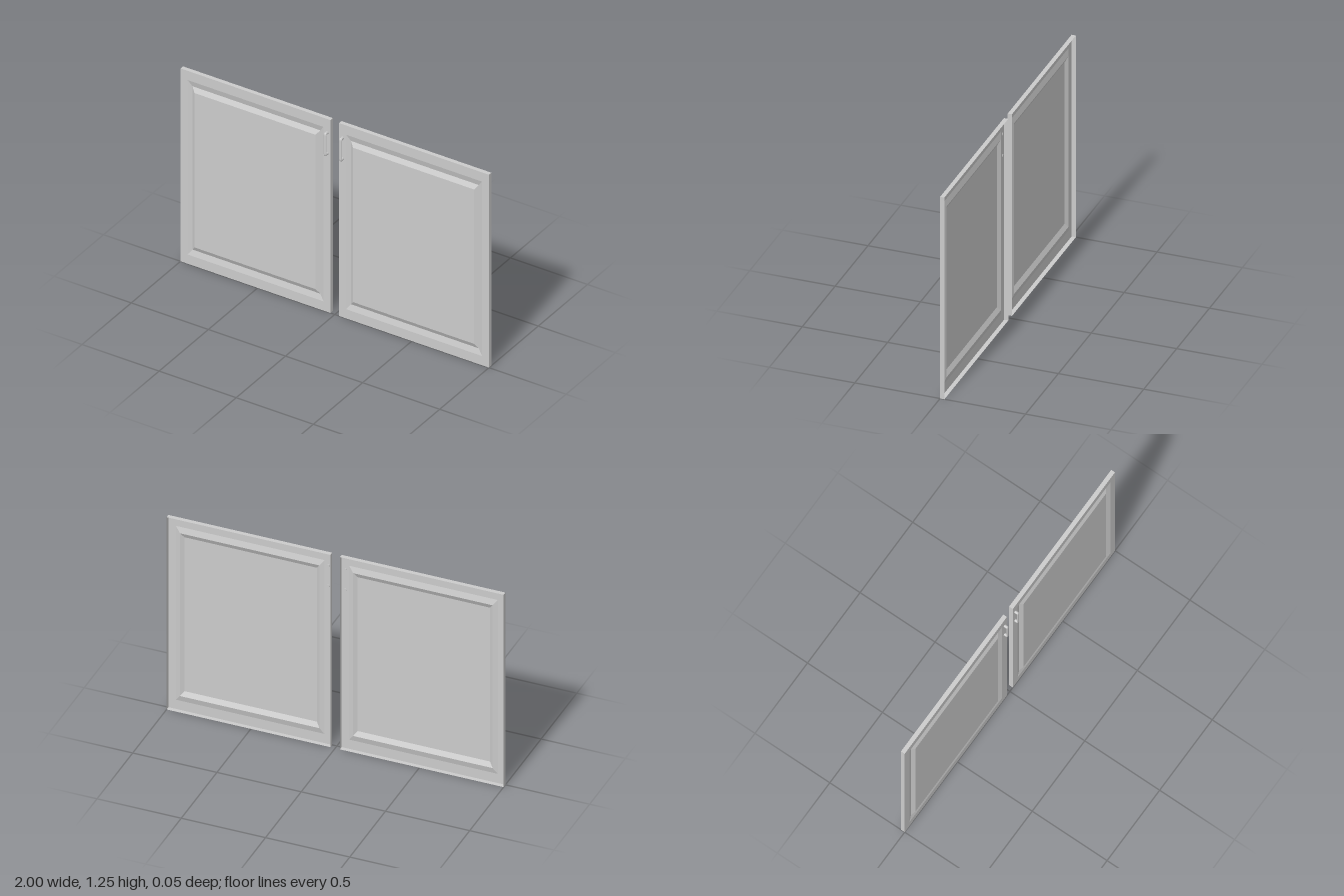
import * as THREE from 'three';

const X0 = 0.028, X1 = 1, H = 1.252;

// Rectangular rings of the pressed door sheet: [x inset, y inset, z], outside to centre
const RINGS = [
  [0, 0, -0.025],         // back edge of the rim
  [0, 0, 0],              // front edge of the frame
  [0.045, 0.06, 0],       // start of the shallow slope
  [0.072, 0.096, -0.009], // groove
  [0.093, 0.125, 0.005],  // raised panel edge
];

function ringCorners([dx, dy, z]) {
  return [
    [X0 + dx, dy, z], [X1 - dx, dy, z],
    [X1 - dx, H - dy, z], [X0 + dx, H - dy, z],
  ];
}

// Thin sheet, open at the back, with flat facets
function doorGeometry() {
  const pos = [];
  const quad = (a, b, c, d) => pos.push(...a, ...b, ...c, ...a, ...c, ...d);
  const rings = RINGS.map(ringCorners);
  for (let r = 0; r < rings.length - 1; r++) {
    for (let i = 0; i < 4; i++) {
      const j = (i + 1) % 4;
      quad(rings[r][i], rings[r][j], rings[r + 1][j], rings[r + 1][i]);
    }
  }
  quad(...rings[rings.length - 1]);
  const geo = new THREE.BufferGeometry();
  geo.setAttribute('position', new THREE.Float32BufferAttribute(pos, 3));
  geo.computeVertexNormals();
  return geo;
}

// Bow handle: round bar with tight bends, flattened in depth
function handleGeometry() {
  const v = (y, z) => new THREE.Vector3(0, y, z);
  const h = 0.067, d = 0.039, b = 0.008, back = -0.006;
  const path = new THREE.CurvePath();
  path.add(new THREE.LineCurve3(v(-h, back), v(-h, d - b)));
  path.add(new THREE.QuadraticBezierCurve3(v(-h, d - b), v(-h, d), v(-h + b, d)));
  path.add(new THREE.LineCurve3(v(-h + b, d), v(h - b, d)));
  path.add(new THREE.QuadraticBezierCurve3(v(h - b, d), v(h, d), v(h, d - b)));
  path.add(new THREE.LineCurve3(v(h, d - b), v(h, back)));
  const geo = new THREE.TubeGeometry(path, 72, 0.009, 12, false);
  geo.scale(1, 1, 0.5);
  return geo;
}

export function createModel() {
  const model = new THREE.Group();
  model.name = 'cabinetDoors';
  const mat = new THREE.MeshStandardMaterial({ color: 0xcccccc, side: THREE.DoubleSide });
  const doorGeo = doorGeometry();
  const handleGeo = handleGeometry();
  const capGeo = new THREE.CircleGeometry(0.009, 12);

  for (const [side, s] of [['left', 1], ['right', -1]]) {
    const group = new THREE.Group();
    group.name = side + 'DoorAssembly';
    group.scale.x = s;

    const door = new THREE.Mesh(doorGeo, mat);
    door.name = side + 'Door';

    const handle = new THREE.Mesh(handleGeo, mat);
    handle.name = side + 'Handle';
    handle.position.set(0.05, 1.096, 0);

    // Handle ends showing through the back of the sheet
    for (const e of [-1, 1]) {
      const cap = new THREE.Mesh(capGeo, mat);
      cap.name = side + 'HandleEnd';
      cap.rotation.y = Math.PI;
      cap.position.set(0, e * 0.067, -0.003);
      handle.add(cap);
    }

    group.add(door, handle);
    model.add(group);
  }
  return model;
}
